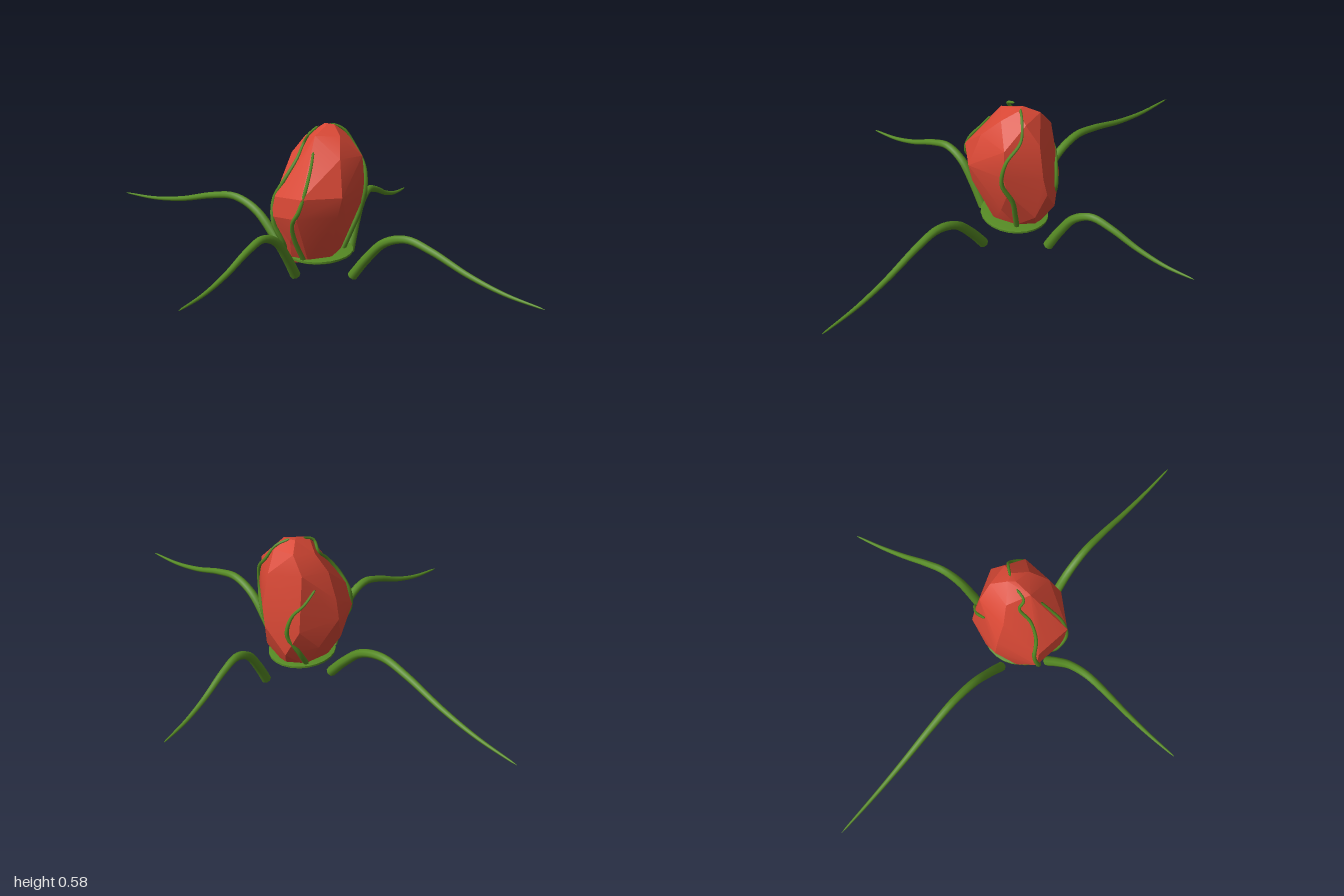
import * as THREE from 'three';
import { toCreasedNormals } from 'three/addons/utils/BufferGeometryUtils.js';
import { ConvexGeometry } from 'three/addons/geometries/ConvexGeometry.js';

const V = (x, y, z) => new THREE.Vector3(x, y, z);

// Tube along points whose radius follows a rule, with closed ends
function taperedTube(points, radiusAt, segments, sides) {
  const curve = new THREE.CatmullRomCurve3(points);
  const geo = new THREE.TubeGeometry(curve, segments, 1, sides);
  const pos = geo.attributes.position;
  const p = V(0, 0, 0);
  for (let i = 0; i <= segments; i++) {
    const centre = curve.getPointAt(i / segments);
    // the second ring sits at the start, so the first one caps it flat
    const target = i === 1 ? curve.getPointAt(0) : centre;
    const r = i === 0 || i === segments ? 0 : radiusAt(i === 1 ? 0 : i / segments);
    for (let j = 0; j <= sides; j++) {
      const k = i * (sides + 1) + j;
      p.fromBufferAttribute(pos, k).sub(centre).multiplyScalar(r).add(target);
      pos.setXYZ(k, p.x, p.y, p.z);
    }
  }
  return geo;
}

// Irregular ring of points fitted to given x and z limits
function ring(y, x0, x1, z0, z1, sides, phase) {
  const raw = [];
  for (let i = 0; i < sides; i++) {
    const a = phase + (i / sides) * Math.PI * 2;
    raw.push([Math.cos(a), Math.sin(a)]);
  }
  const xs = raw.map((q) => q[0]), zs = raw.map((q) => q[1]);
  const fit = (v, list, a, b) => {
    const lo = Math.min(...list), hi = Math.max(...list);
    return a + ((v - lo) / (hi - lo)) * (b - a);
  };
  return raw.map(([x, z], i) =>
    V(fit(x, xs, x0, x1), y + 0.014 * Math.sin(i * 2.3 + phase), fit(z, zs, z0, z1)));
}

export function createModel() {
  const model = new THREE.Group();
  model.name = 'podPlant';
  const red = new THREE.MeshStandardMaterial({ color: 0xd94835 });
  red.name = 'budRed';
  const green = new THREE.MeshStandardMaterial({ color: 0x568a24 });
  green.name = 'stemGreen';
  const add = (name, geo, mat) => {
    const mesh = new THREE.Mesh(geo, mat);
    mesh.name = name;
    model.add(mesh);
    return mesh;
  };

  // Faceted bud
  const budPoints = [
    ...ring(0.06, -0.06, 0.11, -0.11, 0.1, 7, 0.2),
    ...ring(0.15, -0.1, 0.145, -0.16, 0.15, 7, 0.7),
    ...ring(0.26, -0.13, 0.18, -0.19, 0.19, 7, 0.35),
    ...ring(0.34, -0.115, 0.2, -0.185, 0.185, 7, 0.35),
    ...ring(0.47, -0.075, 0.175, -0.16, 0.09, 6, 0.6),
    ...ring(0.54, -0.03, 0.12, -0.11, 0.04, 5, 0.2),
    V(0.03, 0.575, -0.05), V(0.065, 0.573, -0.06), V(0.05, 0.572, -0.03),
  ];
  const bud = add('bud', toCreasedNormals(new ConvexGeometry(budPoints), 0.35), red);
  bud.updateMatrixWorld(true);

  // Shallow saucer under the bud
  const saucerProfile = [
    [0, 0.035], [0.04, 0.038], [0.08, 0.048], [0.115, 0.062],
    [0.13, 0.07], [0.13, 0.078], [0.12, 0.08], [0, 0.078],
  ].map(([r, y]) => new THREE.Vector2(r, y));
  const saucerGeo = toCreasedNormals(new THREE.LatheGeometry(saucerProfile, 24), 0.6);
  saucerGeo.scale(0.96, 1, 1.06).translate(0.035, 0, -0.012);
  add('saucer', saucerGeo, green);

  // Four arching roots; each path is [share of the way out, height]
  const arch = [
    [0, 0.014], [0.08, 0.1], [0.18, 0.183], [0.3, 0.217],
    [0.43, 0.197], [0.62, 0.145], [0.8, 0.112], [1, 0.097],
  ];
  const rootRadius = (t) => 0.018 * (1 - t) ** 0.7 + 0.002;
  const roots = {
    leftRoot: [V(0.2, 0, 0), V(1, 0, -0.002)],
    rightRoot: [V(-0.095, 0, 0.02), V(-1, 0, 0.015)],
    frontRoot: [V(0.042, 0, 0.148), V(0.042, 0, 0.78)],
    backRoot: [V(0.045, 0, -0.195), V(-0.078, 0, -0.78)],
  };
  for (const [name, [from, to]] of Object.entries(roots)) {
    const lift = name === 'frontRoot' ? 0.012 : 0;
    const path = arch.map(([s, y]) => from.clone().lerp(to, s).setY(y + lift));
    add(name, taperedTube(path, rootRadius, 40, 8), green);
  }

  // Vines laid on the bud: [sideways, height] points cast along a direction
  const caster = new THREE.Raycaster();
  function vine(name, dir, path, lift, extra = []) {
    const d = dir.clone().normalize();
    const side = V(-d.z, 0, d.x);
    const points = [];
    for (const [u, y] of path) {
      const origin = side.clone().multiplyScalar(u).addScaledVector(d, -2).setY(y);
      caster.set(origin, d);
      const hit = caster.intersectObject(bud)[0];
      if (hit) points.push(hit.point.clone().addScaledVector(d, -lift));
    }
    points.push(...extra);
    add(name, taperedTube(points, (t) => 0.011 - 0.006 * t, 48, 6), green);
  }
  vine('frontRightVine', V(0, 0, -1), [
    [-0.04, 0.08], [-0.02, 0.14], [-0.045, 0.22], [-0.055, 0.31],
    [-0.02, 0.39], [0, 0.46], [-0.005, 0.51],
  ], 0.006, [V(0.02, 0.55, 0.035), V(0.03, 0.573, -0.01)]);
  vine('frontLeftVine', V(0, 0, -1), [
    [0.05, 0.08], [0.045, 0.17], [0.055, 0.24], [0.09, 0.3],
    [0.1, 0.38], [0.085, 0.45], [0.07, 0.5],
  ], 0.003);
  vine('backLeftVine', V(-1, 0, 0), [
    [0.08, 0.08], [0.095, 0.15], [0.11, 0.24], [0.09, 0.33],
    [0.1, 0.42], [0.118, 0.49],
  ], 0.01, [V(0.085, 0.55, -0.095), V(0.05, 0.577, -0.055)]);
  vine('backRightVine', V(1, 0, 1), [
    [-0.015, 0.08], [-0.04, 0.15], [-0.085, 0.24], [-0.066, 0.32],
    [-0.02, 0.37], [0.02, 0.42],
  ], 0.004);

  return model;
}
